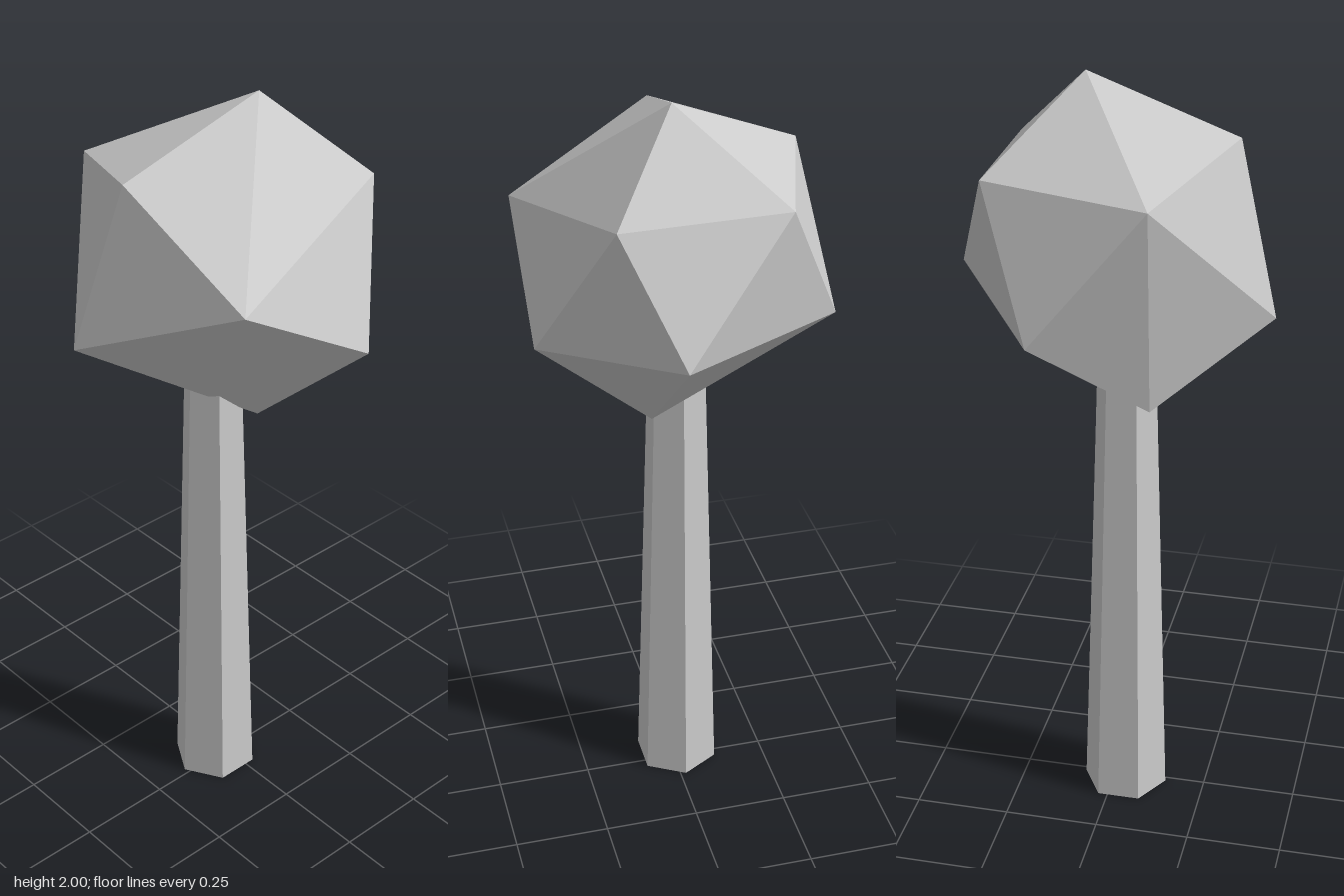
import * as THREE from 'three';
import { ConvexGeometry } from 'three/addons/geometries/ConvexGeometry.js';

export function createModel() {
  const tree = new THREE.Group();
  tree.name = 'tree';
  const material = new THREE.MeshStandardMaterial({ color: 0xcccccc, flatShading: true });

  // Tapered six-sided trunk, its top sunk into the crown
  const trunkHeight = 1.3;
  const trunk = new THREE.Mesh(new THREE.CylinderGeometry(0.075, 0.113, trunkHeight, 6), material);
  trunk.name = 'trunk';
  trunk.position.set(-0.015, trunkHeight / 2, 0.031);
  tree.add(trunk);

  // Irregular twenty-sided crown: the hull of twelve corners, from top to bottom
  const corners = [
    [0.025, 2.0, -0.08],
    [-0.01, 1.87, 0.305], [-0.35, 1.79, 0.15], [-0.215, 1.79, -0.28],
    [0.205, 1.787, -0.288], [0.355, 1.66, 0.262],
    [0.068, 1.475, -0.413], [-0.08, 1.45, 0.412],
    [-0.375, 1.44, -0.135], [0.373, 1.43, -0.12],
    [-0.26, 1.255, 0.14], [0.068, 1.15, -0.045],
  ].map((p) => new THREE.Vector3(...p));
  const crown = new THREE.Mesh(new ConvexGeometry(corners), material);
  crown.name = 'crown';
  tree.add(crown);

  return tree;
}
